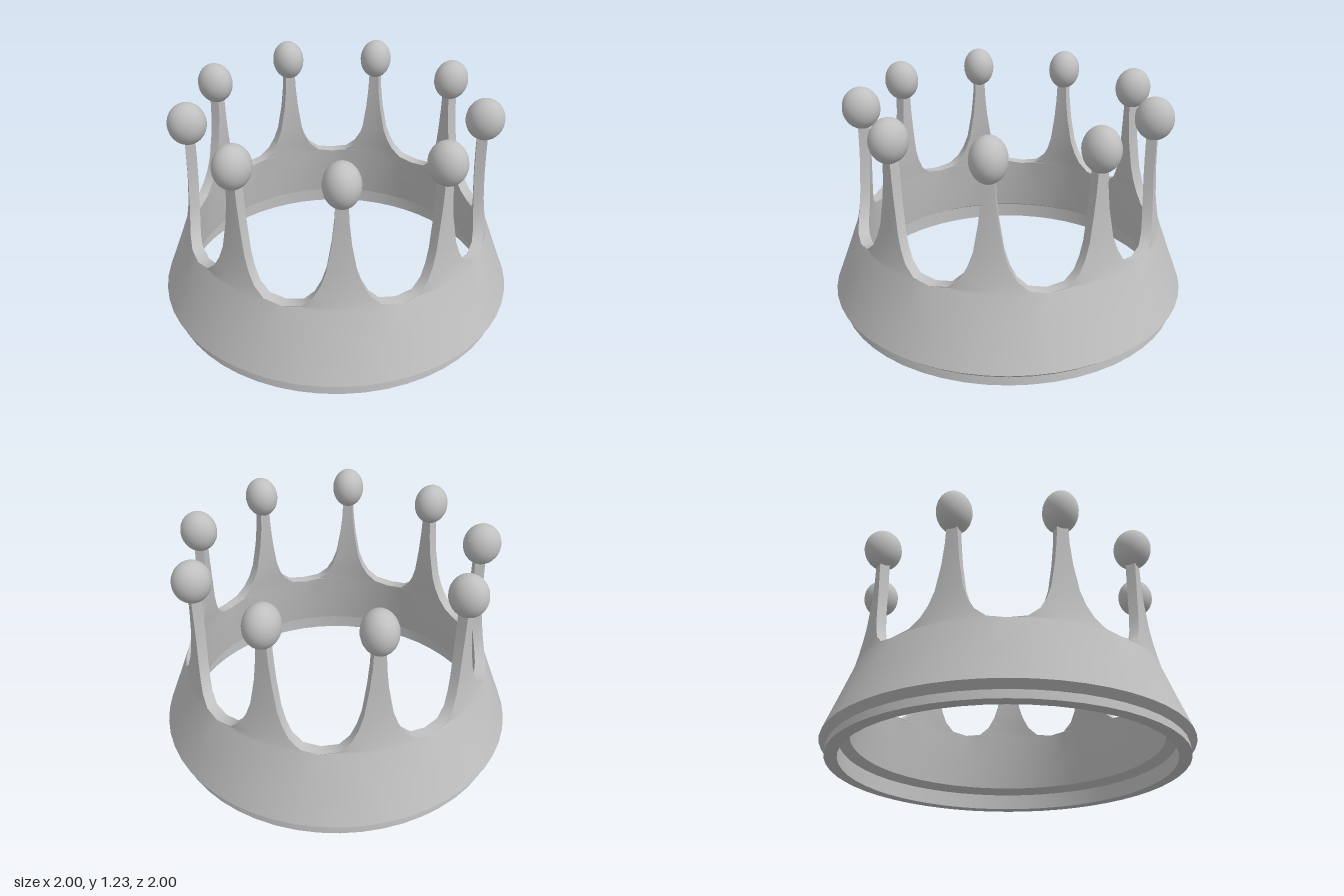
import * as THREE from 'three';
import { toCreasedNormals } from 'three/addons/utils/BufferGeometryUtils.js';

const SPIKES = 9, COLS = 6;
const STEP = (Math.PI * 2) / SPIKES;
const rad = THREE.MathUtils.degToRad;

// Wall rows: height, outer radius, inner radius, half-angle of the spike in degrees
const ROWS = [
  [0.08, 1.0, 0.845, 20],
  [0.27, 0.927, 0.822, 20],
  [0.445, 0.862, 0.8, 20],
  [0.46, 0.857, 0.798, 13.5],
  [0.51, 0.846, 0.79, 9.5],
  [0.575, 0.835, 0.78, 7.0],
  [0.65, 0.826, 0.772, 5.2],
  [0.8, 0.816, 0.762, 3.4],
  [0.92, 0.813, 0.758, 2.5],
  [1.06, 0.812, 0.757, 2.0],
];

// One ninth of the wall: outer face, inner face and the cut edges of its spike
function wallSection() {
  const pos = [];
  const point = (row, inner, s) => {
    const a = rad(row[3]) * s, r = inner ? row[2] : row[1];
    // the inner face starts at the ledge of the base ring
    const y = inner ? Math.max(row[0], 0.12) : row[0];
    return [r * Math.sin(a), y, r * Math.cos(a)];
  };
  const quad = (a, b, c, d) => pos.push(...a, ...b, ...c, ...a, ...c, ...d);
  for (let i = 0; i < ROWS.length - 1; i++) {
    const lo = ROWS[i], hi = ROWS[i + 1];
    for (let j = 0; j < COLS; j++) {
      const s = -1 + (2 * j) / COLS, t = -1 + (2 * (j + 1)) / COLS;
      quad(point(lo, 0, s), point(lo, 0, t), point(hi, 0, t), point(hi, 0, s));
      quad(point(lo, 1, t), point(lo, 1, s), point(hi, 1, s), point(hi, 1, t));
    }
    if (hi[3] < 20) {
      quad(point(lo, 0, 1), point(lo, 1, 1), point(hi, 1, 1), point(hi, 0, 1));
      quad(point(lo, 1, -1), point(lo, 0, -1), point(hi, 0, -1), point(hi, 1, -1));
    }
  }
  return pos;
}

// Whole wall, joined so that the shading runs smoothly around it
function wallGeometry() {
  const section = wallSection(), all = [];
  const v = new THREE.Vector3(), up = new THREE.Vector3(0, 1, 0);
  for (let k = 0; k < SPIKES; k++) {
    for (let i = 0; i < section.length; i += 3) {
      v.fromArray(section, i).applyAxisAngle(up, k * STEP);
      all.push(v.x, v.y, v.z);
    }
  }
  const g = new THREE.BufferGeometry();
  g.setAttribute('position', new THREE.Float32BufferAttribute(all, 3));
  return toCreasedNormals(g, 0.6);
}

export function createModel() {
  const crown = new THREE.Group();
  crown.name = 'crown';
  const metal = new THREE.MeshStandardMaterial({ color: 0xc0c0c0 });
  metal.name = 'grey metal';

  const add = (geometry, name) => {
    const mesh = new THREE.Mesh(geometry, metal);
    mesh.name = name;
    crown.add(mesh);
    return mesh;
  };

  add(wallGeometry(), 'spikedWall');

  // Base ring: inner ledge, flat foot and undercut outer rim
  const profile = [
    [0.845, 0.12], [0.9, 0.09], [0.9, 0], [0.968, 0], [0.962, 0.045], [1.0, 0.08],
  ].map(([r, y]) => new THREE.Vector2(r, y));
  const ring = new THREE.LatheGeometry(profile, SPIKES * COLS, -STEP / 2);
  ring.deleteAttribute('normal');
  add(toCreasedNormals(ring, 0.4), 'baseRing');

  // An egg-shaped ball on each spike tip
  const ball = new THREE.SphereGeometry(1, 24, 16);
  for (let k = 0; k < SPIKES; k++) {
    const a = k * STEP;
    const mesh = add(ball, 'tipBall');
    mesh.scale.set(0.092, 0.115, 0.103);
    mesh.position.set(0.79 * Math.sin(a), 1.115, 0.79 * Math.cos(a));
    mesh.rotation.y = a;
  }
  return crown;
}
